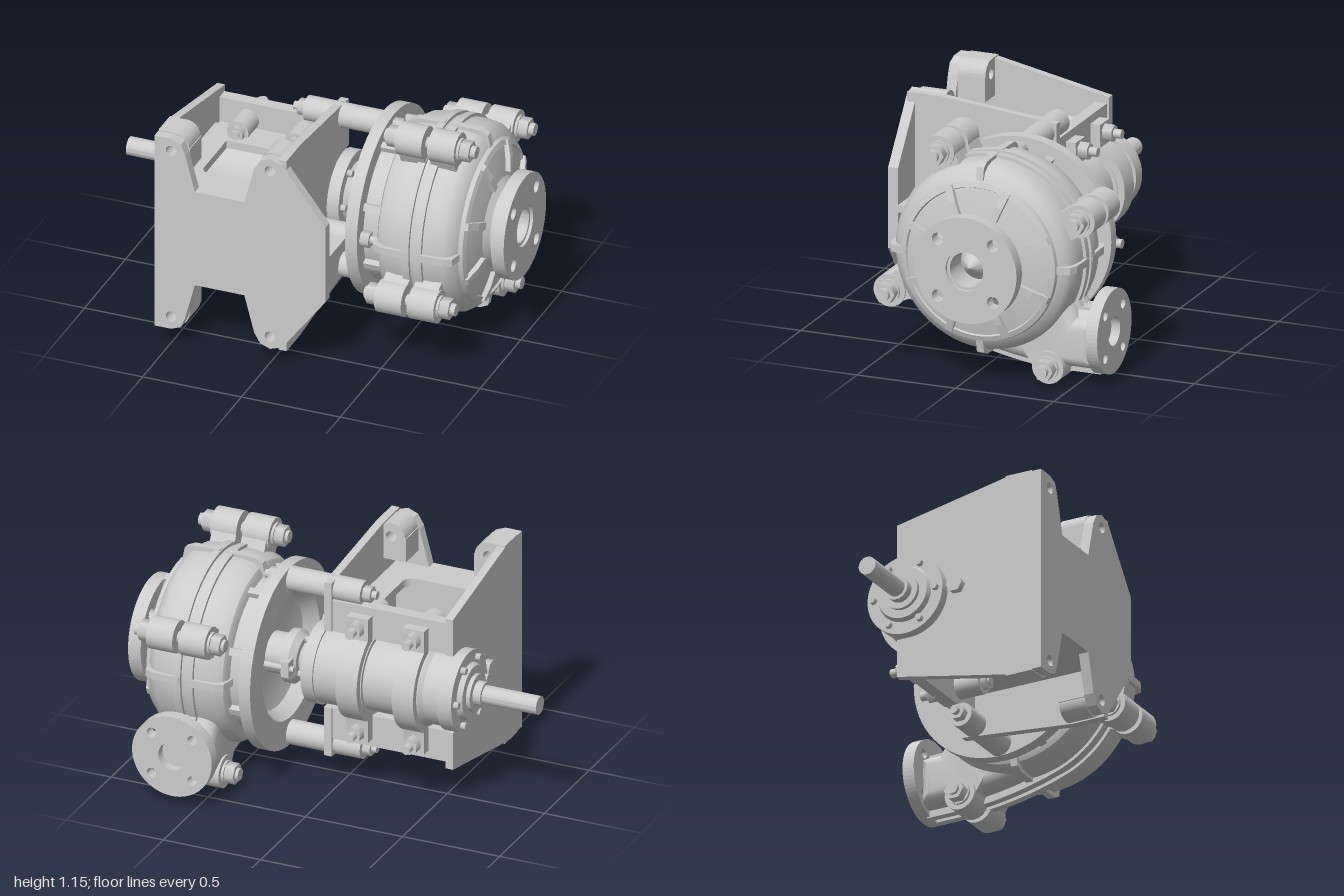
import * as THREE from 'three';
import { toCreasedNormals } from 'three/addons/utils/BufferGeometryUtils.js';

const CY = 0.59, CZ = -0.05;          // height and depth of the shaft axis
const MX = 0.62;                      // split plane of the casing
const mat = new THREE.MeshStandardMaterial({ color: 0xcccccc, side: THREE.DoubleSide });

export function createModel() {
  const root = new THREE.Group();

  function add(name, geo, parent = root) {
    const m = new THREE.Mesh(geo, mat);
    m.name = name;
    parent.add(m);
    return m;
  }
  function group(name) {
    const g = new THREE.Group();
    g.name = name;
    root.add(g);
    return g;
  }
  function box(name, x0, x1, y0, y1, z0, z1, parent) {
    return add(name, new THREE.BoxGeometry(x1 - x0, y1 - y0, z1 - z0)
      .translate((x0 + x1) / 2, (y0 + y1) / 2, (z0 + z1) / 2), parent);
  }
  // Cylinder along x or along z
  function xCyl(name, r, x0, x1, y = CY, z = CZ, parent = root, sides = 32) {
    return add(name, new THREE.CylinderGeometry(r, r, x1 - x0, sides)
      .rotateZ(-Math.PI / 2).translate((x0 + x1) / 2, y, z), parent);
  }
  function zCyl(name, r, z0, z1, x, y, parent = root, sides = 32) {
    return add(name, new THREE.CylinderGeometry(r, r, z1 - z0, sides)
      .rotateX(Math.PI / 2).translate(x, y, (z0 + z1) / 2), parent);
  }
  // Turned part on the shaft axis from [x, radius] pairs
  function turned(name, pts) {
    const g = new THREE.LatheGeometry(pts.map(([x, r]) => new THREE.Vector2(r, x)), 72);
    return add(name, toCreasedNormals(g.rotateZ(-Math.PI / 2), 0.5).translate(0, CY, CZ));
  }
  // Shape drawn in (-z, y), extruded along x
  function xExtrude(name, shape, x0, x1, bevel = 0, parent = root) {
    const g = new THREE.ExtrudeGeometry(shape, {
      depth: x1 - x0 - 2 * bevel, curveSegments: 40, bevelEnabled: bevel > 0,
      bevelSize: bevel, bevelThickness: bevel, bevelOffset: -bevel, bevelSegments: 6,
    });
    return add(name, toCreasedNormals(g.rotateY(Math.PI / 2), 0.5).translate(x0 + bevel, 0, 0), parent);
  }
  function poly(pts) {
    return new THREE.Shape(pts.map((p) => new THREE.Vector2(...p)));
  }
  function hole(shape, x, y, r) {
    shape.holes.push(new THREE.Path().absarc(x, y, r, 0, Math.PI * 2, true));
  }

  // ---- Foot plate, lugs and walls of the pedestal
  const base = group('pedestal');
  const half = [[0.28, 0.2], [0.06, 0.49], [0, 0.51], [-0.05, 0.49], [-0.08, 0.44], [-0.13, 0.25],
    [-0.38, 0.25], [-0.43, 0.44], [-0.45, 0.49], [-0.5, 0.51], [-0.585, 0.51]];
  const foot = poly([...half.map(([x, y]) => [x, CY + y]),
    ...half.slice().reverse().map(([x, y]) => [x, CY - y])]);
  for (const s of [-1, 1]) for (const x of [-0.5, 0]) hole(foot, x, CY + s * 0.445, 0.027);
  add('footPlate', new THREE.ExtrudeGeometry(foot, { depth: 0.05, bevelEnabled: false }).translate(0, 0, 0.6), base);

  for (const s of [-1, 1]) {
    for (const x of [-0.5, 0]) {
      const lug = new THREE.Shape();
      const l = x < 0 ? -0.085 : -0.075;
      lug.moveTo(l, -0.12);
      lug.lineTo(0.075, -0.12);
      lug.lineTo(0.075, 0);
      lug.absarc(0, 0, 0.07, 0, x < 0 ? Math.PI / 2 : Math.PI, false);
      lug.lineTo(l, x < 0 ? 0.07 : 0);
      hole(lug, 0, 0, 0.027);
      const g = new THREE.ExtrudeGeometry(lug, { depth: 0.14, bevelEnabled: false });
      if (s < 0) g.rotateX(Math.PI).translate(0, 0, 0.14);
      add('footLug', g.translate(x, CY + s * 0.445, 0.46), base);
    }
    // Web with a window between foot and saddle
    const web = poly([[-0.57, 0], [0.06, 0], [0.06, 0.6], [-0.57, 0.6]]);
    const win = new THREE.Path();
    win.moveTo(-0.43, 0.14);
    win.lineTo(-0.43, 0.41);
    win.quadraticCurveTo(-0.43, 0.46, -0.38, 0.46);
    win.lineTo(-0.13, 0.46);
    win.quadraticCurveTo(-0.08, 0.46, -0.08, 0.41);
    win.lineTo(-0.08, 0.14);
    web.holes.push(win);
    add('web', new THREE.ExtrudeGeometry(web, { depth: 0.04, bevelEnabled: false })
      .rotateX(Math.PI / 2).translate(0, CY + s * 0.23 + 0.02, 0), base);
  }
  // End walls, notched for the bearing housing
  for (const [x0, x1, h] of [[-0.585, -0.545, 0.39], [0.04, 0.08, 0.45]]) {
    const w = new THREE.Shape();
    w.moveTo(-0.64, CY - 0.51);
    w.lineTo(-0.47, CY - 0.51);
    w.lineTo(0.12, CY - h);
    w.lineTo(0.12, CY - 0.2);
    w.lineTo(0.05, CY - 0.2);
    w.absarc(0.05, CY, 0.2, -Math.PI / 2, Math.PI / 2, true);
    w.lineTo(0.12, CY + 0.2);
    w.lineTo(0.12, CY + h);
    w.lineTo(-0.47, CY + 0.51);
    w.lineTo(-0.64, CY + 0.51);
    xExtrude('endWall', w, x0, x1, 0, base);
  }
  // Saddle below the bearing housing
  const saddle = new THREE.Shape();
  saddle.moveTo(0.11, CY - 0.36);
  saddle.lineTo(0.11, CY - 0.2);
  saddle.lineTo(0.05, CY - 0.2);
  saddle.absarc(0.05, CY, 0.2, -Math.PI / 2, Math.PI / 2, true);
  saddle.lineTo(0.11, CY + 0.2);
  saddle.lineTo(0.11, CY + 0.36);
  saddle.lineTo(0.05, CY + 0.36);
  saddle.lineTo(0.05, CY + 0.24);
  saddle.absarc(0.05, CY, 0.23, Math.PI / 2, Math.PI * 1.5, false);
  saddle.lineTo(0.05, CY - 0.36);
  xExtrude('saddle', saddle, -0.55, 0.05, 0, base);
  box('sideRib', 0.08, 0.28, CY - 0.018, CY + 0.018, 0.4, 0.62, base);

  // ---- Shaft, bearing housing and gland
  turned('shaft', [[-1, 0], [-1, 0.045], [-0.72, 0.045], [-0.72, 0.06], [-0.64, 0.06], [-0.64, 0.07], [0.4, 0.07]]);
  turned('bearingHousing', [[-0.68, 0.06], [-0.68, 0.09], [-0.66, 0.09], [-0.66, 0.13], [-0.635, 0.14],
    [-0.635, 0.2], [-0.56, 0.2], [-0.56, 0.185], [-0.48, 0.185], [-0.46, 0.2], [-0.34, 0.2], [-0.34, 0.18],
    [-0.17, 0.18], [-0.17, 0.2], [-0.05, 0.2], [-0.05, 0.19], [0.08, 0.19], [0.08, 0.2], [0.14, 0.2],
    [0.14, 0.15], [0.18, 0.13], [0.18, 0.09], [0.21, 0.07]]);
  for (let i = 0; i < 6; i++) {
    const a = (i * Math.PI) / 3;
    const y = CY + 0.165 * Math.sin(a), z = CZ + 0.165 * Math.cos(a);
    xCyl('coverBolt', 0.018, -0.66, -0.63, y, z, root, 6);
    xCyl('coverBolt', 0.018, 0.14, 0.165, y, z, root, 6);
  }
  turned('gland', [[0.21, 0.07], [0.21, 0.1], [0.24, 0.13], [0.28, 0.13], [0.28, 0.1], [0.38, 0.1]]);
  for (const s of [-1, 1]) {
    box('glandEar', 0.22, 0.26, CY - 0.04, CY + 0.04, CZ + s * 0.13 - 0.03, CZ + s * 0.13 + 0.03);
    xCyl('glandBolt', 0.015, 0.2, 0.38, CY, CZ + s * 0.14, root, 12);
  }

  // ---- Clamps holding the bearing housing
  for (const x of [-0.4, -0.11]) {
    const g = group('bearingClamp');
    const c = new THREE.Shape();
    c.moveTo(0.11, CY - 0.32);
    c.lineTo(0.16, CY - 0.32);
    c.lineTo(0.16, CY - 0.21);
    c.absarc(0.05, CY, 0.235, -1.08, 1.08, false);
    c.lineTo(0.16, CY + 0.32);
    c.lineTo(0.11, CY + 0.32);
    c.lineTo(0.11, CY + 0.18);
    c.absarc(0.05, CY, 0.19, 1.25, -1.25, true);
    xExtrude('clampStrap', c, x - 0.055, x + 0.055, 0, g);
    for (const s of [-1, 1]) {
      const y = CY + s * 0.27;
      zCyl('clampBolt', 0.022, -0.25, 0.12, x, y, g, 16);
      zCyl('clampNut', 0.042, -0.21, -0.16, x, y, g, 6);
      zCyl('clampBoss', 0.055, -0.06, 0.08, x, y, g);
      zCyl('clampNut', 0.04, 0.08, 0.11, x, y, g, 6);
    }
  }

  // ---- Adjusting screw under the bearing housing
  const screw = group('adjustingScrew');
  xCyl('screwRod', 0.02, -0.63, -0.18, CY, 0.21, screw, 16);
  for (const [a, b, r] of [[-0.635, -0.6, 0.042], [-0.37, -0.34, 0.04], [-0.23, -0.19, 0.042]])
    xCyl('screwNut', r, a, b, CY, 0.21, screw, 6);
  xCyl('screwEye', 0.065, -0.29, -0.23, CY, 0.21, screw);

  // ---- Three posts tying the pedestal to the pump plate
  for (const [y, z, x0] of [[CY + 0.4, CZ, -0.1], [CY - 0.4, CZ, -0.1], [CY, 0.345, 0.0]]) {
    const g = group('tiePost');
    xCyl('post', 0.06, x0, 0.31, y, z, g);
    xCyl('postStud', 0.02, -0.165, 0.41, y, z, g, 16);
    xCyl('postNut', 0.04, -0.14, -0.1, y, z, g, 6);
    xCyl('postBoss', 0.045, -0.1, 0.04, y, z, g);
    xCyl('postNut', 0.04, 0.34, 0.385, y, z, g, 6);
  }

  // ---- Mounting plate and pump casing
  turned('mountingPlate', [[0.37, 0.07], [0.37, 0.2], [0.35, 0.28], [0.28, 0.32], [0.28, 0.46], [0.34, 0.46],
    [0.34, 0.38], [0.43, 0.38]]);
  for (let i = 0; i < 8; i++) {
    const a = (i + 0.5) * Math.PI / 4;
    const rib = box('plateRib', 0.33, 0.45, 0.36, 0.41, -0.018, 0.018);
    rib.rotation.x = a;
    rib.position.set(0, CY, CZ);
    // Raised ribs on the suction cover
    const front = poly([[0.8, 0.24], [0.895, 0.24], [0.885, 0.31], [0.86, 0.385], [0.8, 0.4]]);
    const m = add('coverRib', new THREE.ExtrudeGeometry(front, { depth: 0.036, bevelEnabled: false }).translate(0, 0, -0.018));
    m.rotation.x = a;
    m.position.set(0, CY, CZ);
  }
  turned('casing', [[0.42, 0.1], [0.42, 0.4], [0.435, 0.43], [0.47, 0.452], [0.53, 0.46], [0.71, 0.46], [0.77, 0.452],
    [0.805, 0.43], [0.825, 0.395], [0.845, 0.39], [0.855, 0.365], [0.845, 0.36], [0.865, 0.28], [0.875, 0.22],
    [0.9, 0.19], [0.935, 0.18]]);
  // Suction flange with four bolt holes
  const flange = new THREE.Shape().absarc(-CZ, CY, 0.26, 0, Math.PI * 2);
  hole(flange, -CZ, CY, 0.1);
  for (const a of [-1, 1]) for (const b of [-1, 1]) hole(flange, -CZ + a * 0.14, CY + b * 0.14, 0.03);
  xExtrude('suctionFlange', flange, 0.935, 1);
  turned('suctionBore', [[0.8, 0.085], [0.985, 0.085], [0.985, 0.1]]);
  turned('impellerNose', [[0.85, 0.085], [0.87, 0.06], [0.9, 0.055], [0.96, 0]]);

  // Spiral outline of the casing, shrunk by d
  function spiral(d) {
    const s = new THREE.Shape();
    s.moveTo(0.6, 0.37 - d);
    s.lineTo(0.5, 0.37 - d);
    s.absarc(0.05, CY, 0.475 - d, -0.42, 4.36, false);
    s.bezierCurveTo(0.0, 0.1 + d, 0.2, 0.055 + d, 0.36, 0.05 + d);
    s.lineTo(0.6, 0.05 + d);
    return s;
  }
  xExtrude('voluteBody', spiral(0.035), 0.48, 0.76, 0.07);
  xExtrude('splitFlange', spiral(0), 0.57, 0.607);
  xExtrude('splitFlange', spiral(0), 0.633, 0.67);

  // Ribs running over the casing halves
  for (let i = 0; i < 4; i++) for (const s of [-1, 1]) {
    const prof = poly([[0.02, 0.4], [0.02, 0.478], [0.16, 0.474], [0.2, 0.455], [0.215, 0.38], [0.18, 0.37]]
      .map(([x, r]) => [MX + s * x, r]));
    const m = add('casingRib', new THREE.ExtrudeGeometry(prof, { depth: 0.036, bevelEnabled: false }).translate(0, 0, -0.018));
    m.rotation.x = (i * Math.PI) / 2;
    m.position.set(0, CY, CZ);
  }

  // Bolted lugs around the casing
  for (const [z, y] of [[0.185, 1.075], [-0.53, 0.825], [-0.37, 0.085], [0.435, 0.36]]) {
    const g = group('casingLug');
    const dy = CY - y, dz = CZ - z, len = Math.hypot(dy, dz);
    for (const s of [-1, 1]) {
      const span = (a, b) => (s > 0 ? [MX + a, MX + b] : [MX - b, MX - a]);
      xCyl('lugBarrel', 0.08, ...span(0.015, 0.15), y, z, g);
      const [a, b] = span(0.015, 0.14);
      const arm = box('lugArm', a, b, -0.07, 0.07, 0, 0.2, g);
      arm.rotation.x = Math.atan2(-dy / len, dz / len);
      arm.position.set(0, y, z);
      xCyl('washer', 0.056, ...span(0.15, 0.162), y, z, g);
      xCyl('lugNut', 0.052, ...span(0.162, 0.21), y, z, g, 6);
    }
    xCyl('stud', 0.03, 0.395, 0.855, y, z, g, 20);
  }

  // ---- Discharge branch at the back, split like the casing
  zCyl('dischargePipe', 0.115, -0.6, -0.2, MX, 0.255);
  const disc = new THREE.Shape().absarc(0, 0, 0.205, 0, Math.PI * 2);
  hole(disc, 0, 0, 0.07);
  for (const a of [-1, 1]) for (const b of [-1, 1]) hole(disc, a * 0.105, b * 0.105, 0.024);
  add('dischargeFlange', new THREE.ExtrudeGeometry(disc, { depth: 0.06, bevelEnabled: false, curveSegments: 32 })
    .translate(MX, 0.255, -0.645));
  return root;
}
